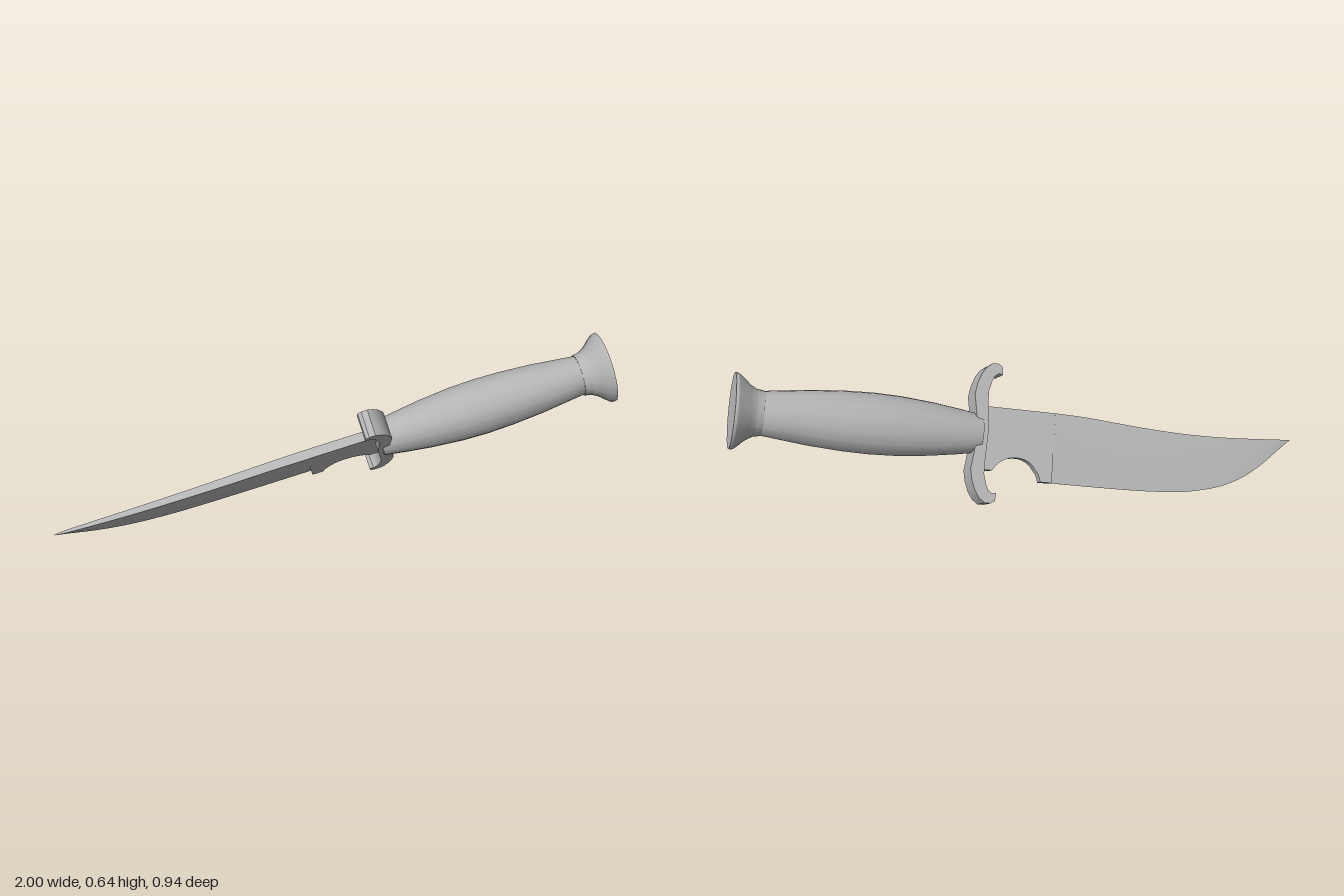
import * as THREE from 'three';
import { toCreasedNormals } from 'three/addons/utils/BufferGeometryUtils.js';

const steel = new THREE.MeshStandardMaterial({ color: 0xb4b4b4 });
steel.name = 'grey steel';

function addPart(parent, name, geometry, crease = 0.6) {
  const mesh = new THREE.Mesh(toCreasedNormals(geometry, crease), steel);
  mesh.name = name;
  parent.add(mesh);
  return mesh;
}

// Extrude a flat outline, centred on its thickness
function plate(shape, depth) {
  const geo = new THREE.ExtrudeGeometry(shape, { depth, bevelEnabled: false, curveSegments: 10 });
  return geo.translate(0, 0, -depth / 2);
}

// Round part turned about the long axis; profile is [position, radius]
function turned(profile, sides) {
  const pts = profile.map(([u, r]) => new THREE.Vector2(r, u));
  return new THREE.LatheGeometry(pts, sides).rotateZ(-Math.PI / 2).scale(1, -1, -1);
}

// Blade lofted through wedge-shaped cross-sections
function bladeGeometry() {
  // position along the blade, spine height, edge height
  const stations = [
    [-0.08, 0.098, -0.16], [-0.2, 0.094, -0.161], [-0.375, 0.08, -0.161],
    [-0.5, 0.072, -0.158], [-0.62, 0.068, -0.149], [-0.75, 0.069, -0.121],
    [-0.84, 0.073, -0.083], [-0.925, 0.078, -0.025], [-1.0, 0.083, 0.043], [-1.048, 0.086, 0.085],
  ];
  const curve = (k) => new THREE.CatmullRomCurve3(
    stations.map((s) => new THREE.Vector3(s[0], s[k], 0)), false, 'centripetal');
  const spine = curve(1), edge = curve(2);
  const steps = 27, positions = [], index = [];
  for (let i = 0; i <= steps; i++) {
    const a = spine.getPoint(i / steps), b = edge.getPoint(i / steps);
    const h = 0.018 * Math.pow(1 - i / steps, 0.6) + 0.0005;
    const my = THREE.MathUtils.lerp(b.y, a.y, 0.62), mx = THREE.MathUtils.lerp(b.x, a.x, 0.62);
    positions.push(a.x, a.y, h, mx, my, h, b.x, b.y, 0.0005,
      b.x, b.y, -0.0005, mx, my, -h, a.x, a.y, -h);
  }
  for (let i = 0; i < steps; i++) {
    for (let j = 0; j < 6; j++) {
      const a = i * 6 + j, b = i * 6 + (j + 1) % 6;
      index.push(a, a + 6, b, b, a + 6, b + 6);
    }
  }
  // close the tip and the root
  const e = steps * 6;
  for (let j = 1; j < 5; j++) {
    index.push(0, j, j + 1, e, e + j + 1, e + j);
  }
  const geo = new THREE.BufferGeometry();
  geo.setAttribute('position', new THREE.Float32BufferAttribute(positions, 3));
  geo.setIndex(index);
  return geo;
}

// Unsharpened blade root with the finger notch
function ricassoShape() {
  const s = new THREE.Shape();
  s.moveTo(-0.08, 0.098);
  s.lineTo(-0.08, -0.16);
  s.lineTo(-0.036, -0.16);
  s.lineTo(-0.028, -0.135);
  s.lineTo(-0.01, -0.112);
  s.bezierCurveTo(0.02, -0.065, 0.11, -0.065, 0.15, -0.132);
  s.lineTo(0.195, -0.132);
  s.lineTo(0.195, 0.1);
  return s;
}

// Crossguard with both ends hooked towards the blade
function guardShape() {
  const outer = [[0.222, 0], [0.228, 0.07], [0.238, 0.135], [0.231, 0.175], [0.217, 0.212],
    [0.2, 0.238], [0.178, 0.254], [0.155, 0.254], [0.141, 0.244]];
  const inner = [[0.138, 0.215], [0.153, 0.218], [0.168, 0.208], [0.177, 0.188], [0.187, 0.15], [0.186, 0.1], [0.18, 0]];
  const half = [...outer, ...inner];
  const mirrored = half.slice(1, -1).reverse().map(([u, w]) => [u, -w]);
  return new THREE.Shape([...half, ...mirrored].map(([u, w]) => new THREE.Vector2(u, w)));
}

export function createModel() {
  const model = new THREE.Group();
  model.name = 'dagger';
  const knife = new THREE.Group();
  knife.name = 'knife';
  model.add(knife);

  addPart(knife, 'blade', bladeGeometry(), 0.3);
  addPart(knife, 'ricasso', plate(ricassoShape(), 0.036));
  addPart(knife, 'crossguard', plate(guardShape(), 0.1));

  // Swelling grip, slightly flattened sideways
  const grip = turned([[0.2, 0], [0.2, 0.07], [0.28, 0.083], [0.38, 0.097], [0.5, 0.108], [0.6, 0.111],
    [0.7, 0.108], [0.82, 0.099], [0.92, 0.087], [1.0, 0.077], [1.0, 0]], 16);
  addPart(knife, 'grip', grip.scale(1, 1, 0.95));

  // Flared pommel with a flat end cap
  addPart(knife, 'pommel', turned([[0.985, 0], [0.985, 0.08], [1.01, 0.084], [1.035, 0.098],
    [1.07, 0.129], [1.08, 0.135], [1.09, 0.135], [1.09, 0]], 16), 0.5);

  // Tilt: long axis, blade height axis, blade face axis
  const along = new THREE.Vector3(0.888, 0.224, 0.401).normalize();
  const face = new THREE.Vector3(-0.206, -0.588, 0.784);
  const up = face.clone().cross(along).normalize();
  face.crossVectors(along, up);
  knife.quaternion.setFromRotationMatrix(new THREE.Matrix4().makeBasis(along, up, face));
  knife.position.set(-0.033, 0.2686, -0.0763);

  // Settle on the ground and centre
  model.updateMatrixWorld(true);
  const box = new THREE.Box3().setFromObject(model, true);
  const c = box.getCenter(new THREE.Vector3());
  knife.position.sub(new THREE.Vector3(c.x, box.min.y, c.z));
  return model;
}
